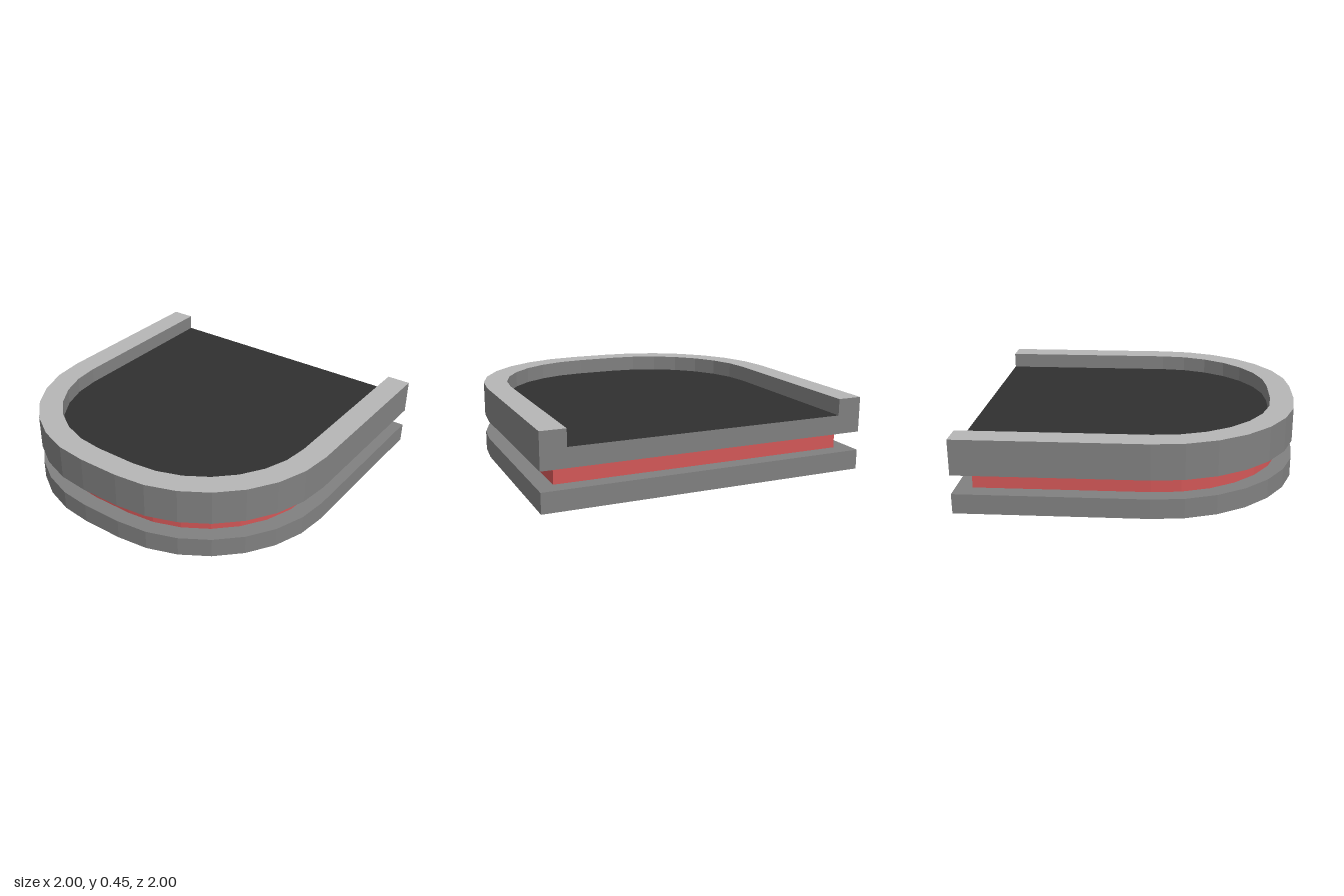
import * as THREE from 'three';

const CENTRE = 0.13; // corner arcs are centred on (+-CENTRE, CENTRE)
const STEPS = 7;     // facets per rounded corner

// Outline with a straight back and two faceted front corners, back left round to back right
function outline(half, back) {
  const r = half - CENTRE;
  const side = [new THREE.Vector2(half, back)];
  for (let i = 0; i <= STEPS; i++) {
    const a = (i / STEPS) * Math.PI / 2;
    side.push(new THREE.Vector2(CENTRE + r * Math.cos(a), CENTRE + r * Math.sin(a)));
  }
  const mirrored = side.map(p => new THREE.Vector2(-p.x, p.y)).reverse();
  return [...side, ...mirrored];
}

// Upright slab of a plan (x, z) between two heights, with cap and side materials
function slab(name, points, bottom, top, cap, side) {
  const geometry = new THREE.ExtrudeGeometry(new THREE.Shape(points), {
    depth: top - bottom, bevelEnabled: false,
  });
  geometry.rotateX(Math.PI / 2).translate(0, top, 0);
  const mesh = new THREE.Mesh(geometry, [cap, side]);
  mesh.name = name;
  return mesh;
}

function material(name, color) {
  const m = new THREE.MeshStandardMaterial({ color });
  m.name = name;
  return m;
}

export function createModel() {
  const grey = material('mid grey', 0x808080);
  const light = material('light grey', 0xb6b6b6);
  const dark = material('dark grey', 0x303030);
  const red = material('red', 0xd25757);

  const outer = outline(1, -1);
  const inner = outline(0.85, -1);
  const core = outline(0.9, -0.9);
  const rim = [...outer, ...inner.slice().reverse()]; // U shape, open at the back
  const skin = 0.004;

  const model = new THREE.Group();
  model.name = 'tray';
  model.add(
    // Base with a dark underside
    slab('underside', outer, 0, skin, dark, grey),
    slab('base', outer, skin, 0.12, grey, grey),
    // Recessed red layer
    slab('core', core, 0.12, 0.235, red, red),
    // Upper tray: slab, dark floor and raised rim
    slab('traySlab', outer, 0.235, 0.35 - skin, grey, grey),
    slab('trayFloor', inner, 0.35 - skin, 0.35, dark, grey),
    slab('rim', rim, 0.35 - skin, 0.45, light, grey),
  );
  return model;
}
